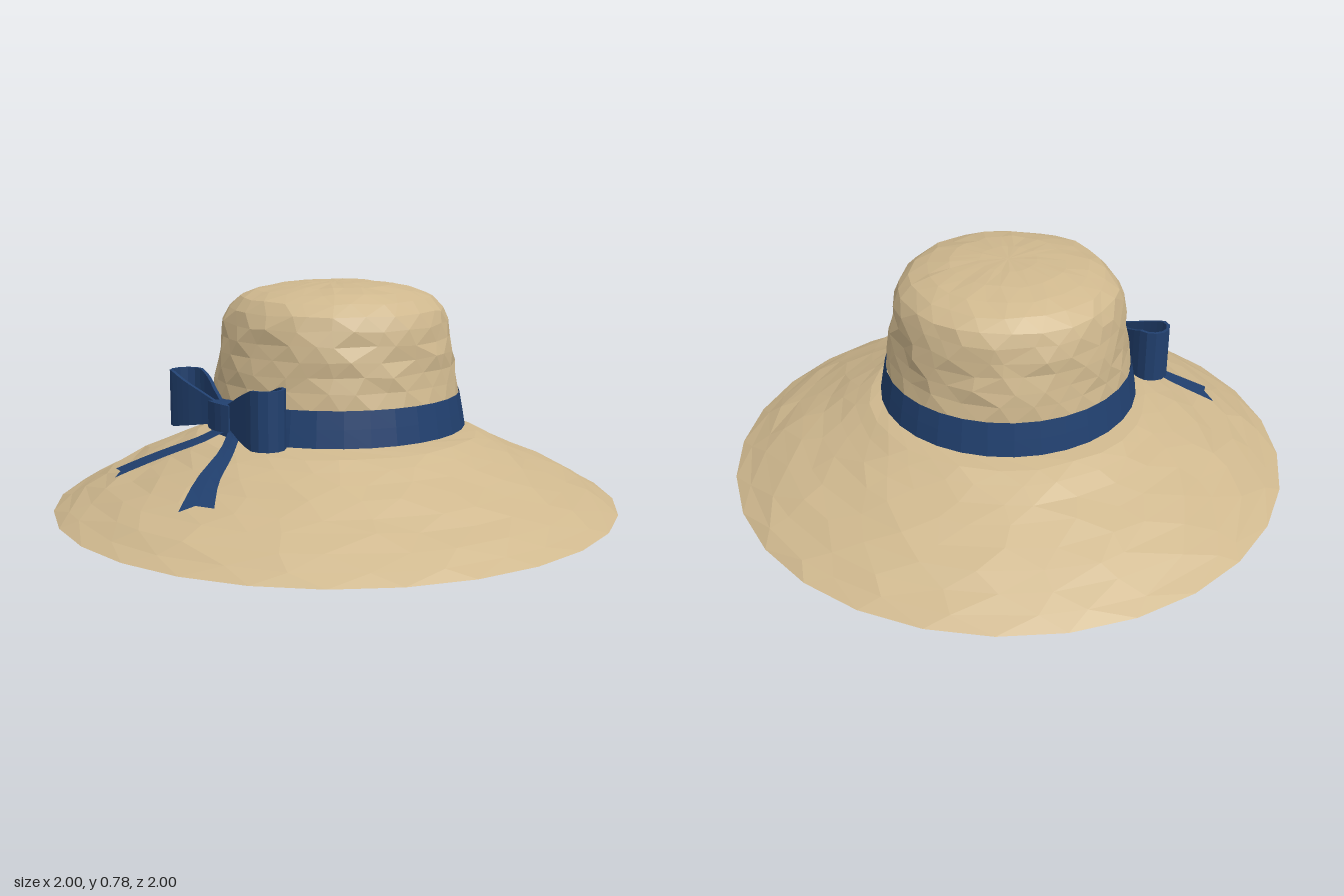
import * as THREE from 'three';

const flat = (color, name) => {
  const m = new THREE.MeshStandardMaterial({ color, flatShading: true, side: THREE.DoubleSide });
  m.name = name;
  return m;
};

// Seeded random in -1..1
let seed = 7;
const rnd = () => {
  seed = (seed * 16807) % 2147483647;
  return (seed / 2147483647) * 2 - 1;
};

// Skin a list of rows of points; wrapU joins last column to first, wrapV last row to first
function skin(rows, wrapU = false, wrapV = false) {
  const n = rows[0].length, pos = rows.flat(2), index = [];
  const rowCount = wrapV ? rows.length : rows.length - 1;
  const colCount = wrapU ? n : n - 1;
  for (let r = 0; r < rowCount; r++) {
    for (let c = 0; c < colCount; c++) {
      const a = r * n + c, b = r * n + (c + 1) % n;
      const r2 = ((r + 1) % rows.length) * n;
      const d = r2 + c, e = r2 + (c + 1) % n;
      index.push(a, b, d, b, e, d);
    }
  }
  const g = new THREE.BufferGeometry();
  g.setAttribute('position', new THREE.Float32BufferAttribute(pos, 3));
  g.setIndex(index);
  g.computeVertexNormals();
  return g;
}

// Uneven woven surface of revolution; profile entries are [radius, height, roughness]
function woven(profile, segments) {
  const rows = profile.map(([r, y, rough], k) => {
    const row = [];
    for (let i = 0; i < segments; i++) {
      const a = ((i + (rough ? k * 0.5 + rnd() * 0.3 : 0)) / segments) * Math.PI * 2;
      const rr = r + rnd() * rough;
      row.push([Math.sin(a) * rr, y + rnd() * rough * 0.6, Math.cos(a) * rr]);
    }
    return row;
  });
  return skin(rows, true);
}

// Brim cross-section from the rim inward
const brimProfile = [
  [1, 0, 0], [0.95, 0.03, 0.007], [0.89, 0.065, 0.008], [0.82, 0.1, 0.009],
  [0.75, 0.133, 0.009], [0.68, 0.165, 0.008], [0.61, 0.197, 0.008],
  [0.55, 0.226, 0.007], [0.5, 0.252, 0.005], [0.455, 0.287, 0],
];
const crownProfile = [
  [0.437, 0.39, 0], [0.427, 0.45, 0.006], [0.42, 0.5, 0.007], [0.415, 0.55, 0.008],
  [0.408, 0.6, 0.008], [0.398, 0.65, 0.007], [0.38, 0.695, 0.006], [0.34, 0.733, 0.006],
  [0.28, 0.757, 0.006], [0.2, 0.774, 0.005], [0.1, 0.782, 0.003], [0, 0.783, 0],
];

function brimHeight(r) {
  for (let i = 1; i < brimProfile.length; i++) {
    const [r0, y0] = brimProfile[i - 1], [r1, y1] = brimProfile[i];
    if (r >= r1) return y0 + (y1 - y0) * (r0 - r) / (r0 - r1);
  }
  return 0.29;
}

// Bow loop: a flat ring of ribbon that flares away from the knot
function bowLoop(side) {
  const curve = new THREE.CatmullRomCurve3([
    [0.02, 0.465], [0.1, 0.49], [0.19, 0.513], [0.27, 0.515], [0.305, 0.475],
    [0.285, 0.42], [0.22, 0.408], [0.11, 0.435],
  ].map(([x, z]) => new THREE.Vector3(x, 0, z)), true);
  const rows = [];
  for (let i = 0; i < 22; i++) {
    const p = curve.getPointAt(i / 22), t = curve.getTangentAt(i / 22);
    const flare = Math.min(1, Math.max(0, (p.x - 0.03) / 0.22));
    const top = 0.395 + 0.085 * flare, bottom = 0.325 - 0.04 * flare;
    const corner = (y, w) => [side * (p.x + t.z * w), y, p.z - t.x * w];
    rows.push([corner(top, 0.006), corner(bottom, 0.006), corner(bottom, -0.006), corner(top, -0.006)]);
  }
  return skin(rows, true, true);
}

// Ribbon tail resting on the brim, with a notched end; edges are [x, z] paths
function tail(outer, inner, notch) {
  const place = ([x, z]) => [x, Math.min(0.32, brimHeight(Math.hypot(x, z)) + 0.016), z];
  const outerCurve = new THREE.SplineCurve(outer.map((p) => new THREE.Vector2(...p)));
  const innerCurve = new THREE.SplineCurve(inner.map((p) => new THREE.Vector2(...p)));
  const rows = [];
  for (let i = 0; i <= 8; i++) {
    const o = outerCurve.getPoint(i / 8).toArray(), n = innerCurve.getPoint(i / 8).toArray();
    const mid = i === 8 ? notch : [(o[0] + n[0]) / 2, (o[1] + n[1]) / 2];
    rows.push([o, mid, n].map(place));
  }
  return skin(rows);
}

export function createModel() {
  const straw = flat(0xcfb88e, 'straw');
  const ribbon = flat(0x21406f, 'navy ribbon');
  const hat = new THREE.Group();
  hat.name = 'sunHat';
  const add = (name, geometry, material, parent = hat) => {
    const mesh = new THREE.Mesh(geometry, material);
    mesh.name = name;
    parent.add(mesh);
    return mesh;
  };

  // Straw shell, with the band forming the wall between brim and crown
  add('brim', woven(brimProfile, 28), straw);
  add('crown', woven(crownProfile, 26), straw);
  add('band', woven([[0.461, 0.28, 0], [0.451, 0.34, 0], [0.44, 0.4, 0]], 32), ribbon);

  // Bow at the front
  const bow = new THREE.Group();
  bow.name = 'bow';
  hat.add(bow);
  add('leftLoop', bowLoop(1), ribbon, bow);
  add('rightLoop', bowLoop(-1), ribbon, bow);

  // Knot: a soft block, pinched at its sides
  const knot = new THREE.BoxGeometry(0.13, 0.095, 0.075, 4, 2, 2);
  const p = knot.attributes.position;
  for (let i = 0; i < p.count; i++) {
    const bulge = 1 - 0.35 * (p.getX(i) / 0.065) ** 2;
    p.setZ(i, p.getZ(i) * bulge);
    p.setY(i, p.getY(i) * (0.8 + 0.2 * bulge));
  }
  knot.computeVertexNormals();
  add('knot', knot, ribbon, bow).position.set(0, 0.355, 0.468);

  add('leftTail', tail(
    [[0.07, 0.45], [0.14, 0.53], [0.21, 0.62], [0.31, 0.7]],
    [[0.0, 0.45], [0.06, 0.53], [0.12, 0.65], [0.22, 0.775]],
    [0.245, 0.728]), ribbon, bow);
  add('rightTail', tail(
    [[-0.07, 0.45], [-0.16, 0.51], [-0.27, 0.59], [-0.37, 0.69]],
    [[0.0, 0.45], [-0.08, 0.53], [-0.17, 0.62], [-0.27, 0.745]],
    [-0.3, 0.708]), ribbon, bow);

  return hat;
}
